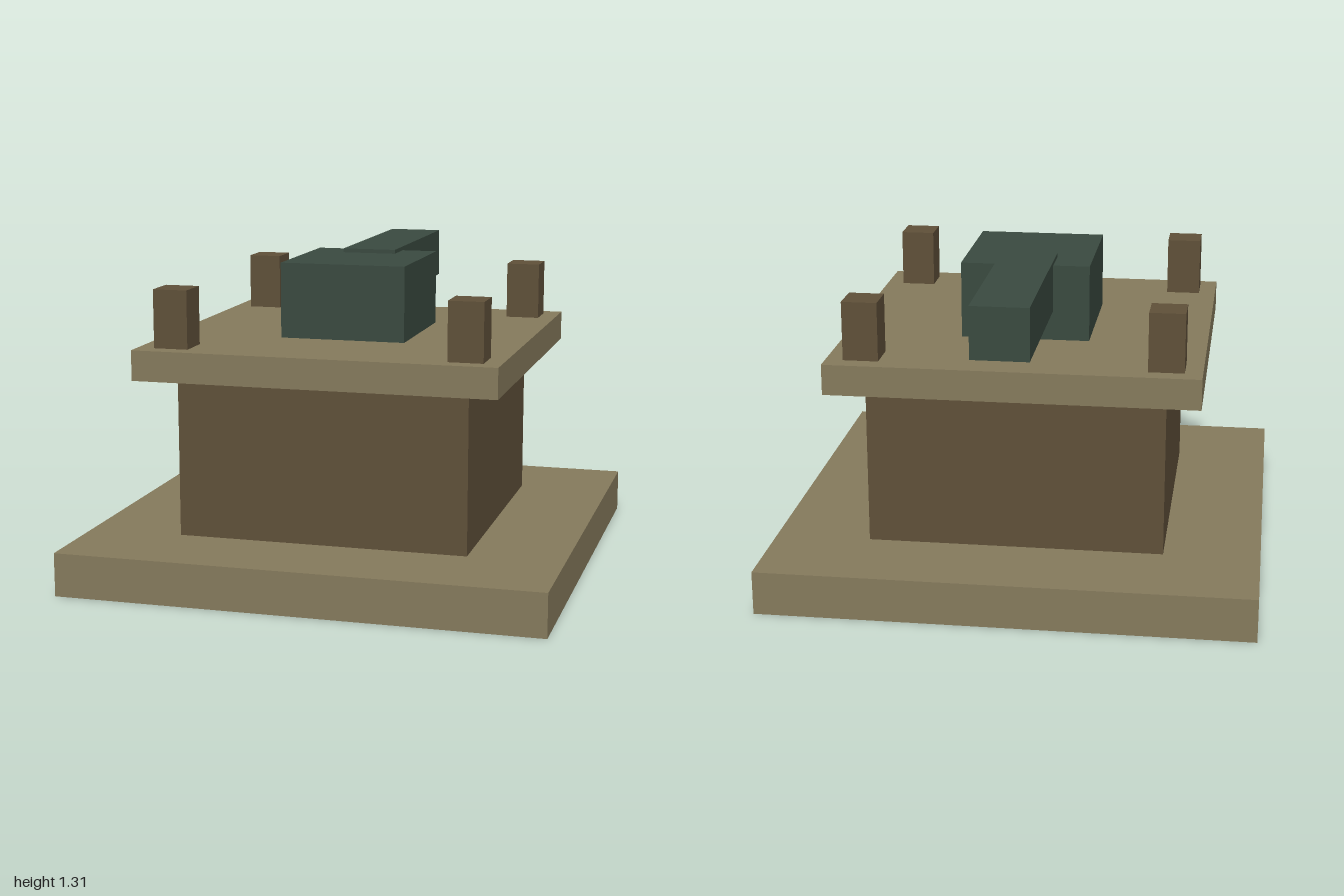
import * as THREE from 'three';

const material = (name, color) => {
  const m = new THREE.MeshStandardMaterial({ color });
  m.name = name;
  return m;
};

export function createModel() {
  const tan = material('tan stone', 0x857a5c);
  const brown = material('brown timber', 0x5f5039);
  const green = material('dark green metal', 0x3a4a40);

  const model = new THREE.Group();
  model.name = 'gunTower';

  // Box given by its size, the height of its underside and its centre on the ground plane
  const block = (name, mat, [w, h, d], bottom, x = 0, z = 0) => {
    const mesh = new THREE.Mesh(new THREE.BoxGeometry(w, h, d), mat);
    mesh.name = name;
    mesh.position.set(x, bottom + h / 2, z);
    model.add(mesh);
  };

  // Tower: footing, walls and overhanging deck
  block('footing', tan, [2, 0.18, 2], 0);
  block('walls', brown, [1.214, 0.67, 1.214], 0.18);
  block('deck', tan, [1.5, 0.125, 1.5], 0.85);

  // Corner posts on the deck
  for (const x of [-1, 1]) {
    for (const z of [-1, 1]) {
      const name = (z > 0 ? 'front' : 'back') + (x > 0 ? 'Left' : 'Right') + 'Post';
      block(name, brown, [0.143, 0.24, 0.143], 0.975, x * 0.607, z * 0.607);
    }
  }

  // Gun: housing with a square barrel pointing to the back
  block('gunHousing', green, [0.53, 0.315, 0.572], 0.975);
  block('gunBarrel', green, [0.23, 0.21, 0.857], 1.097, 0, -0.5715);

  return model;
}
